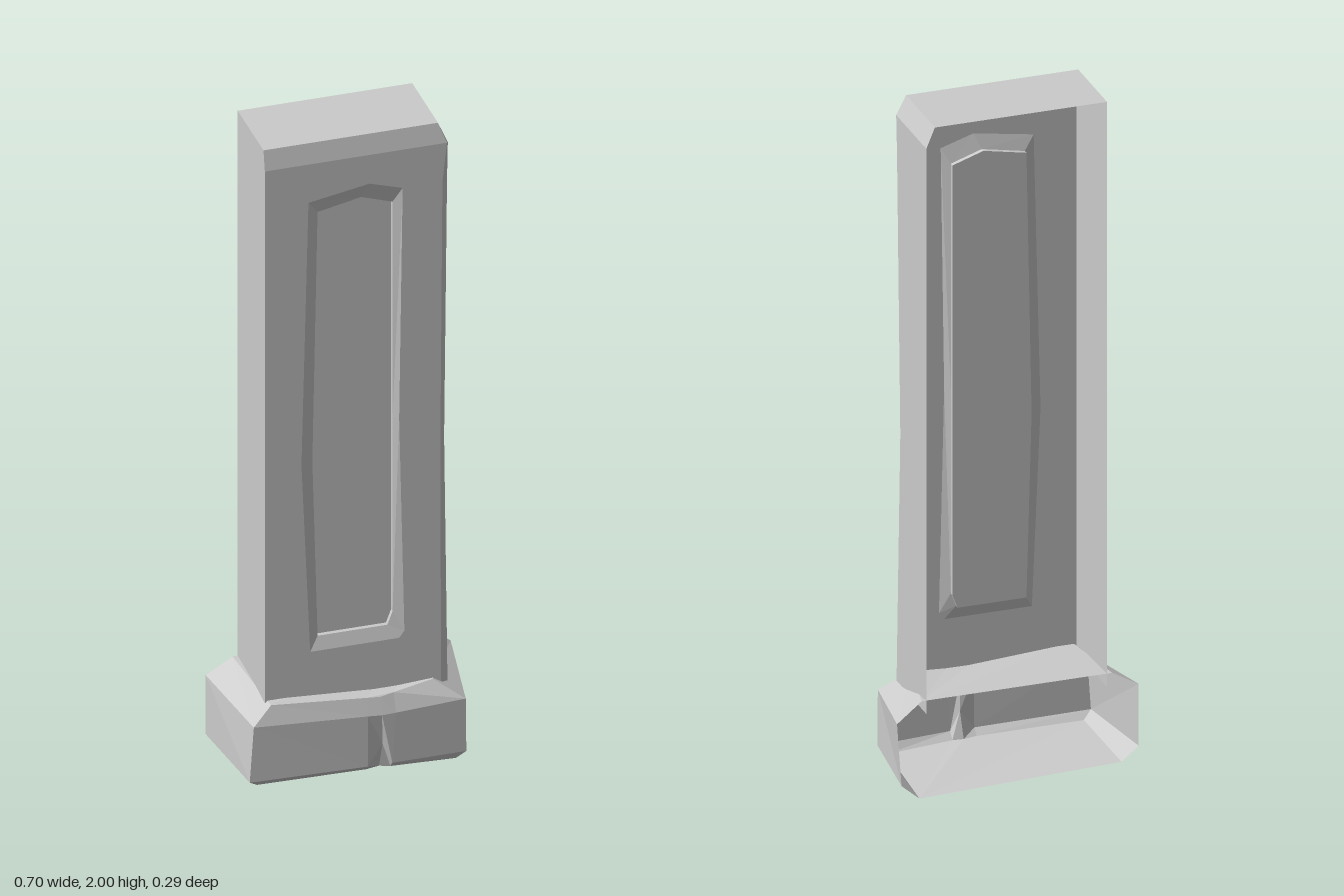
import * as THREE from 'three';

const BACK = -0.147, FRONT = 0.095;
const material = new THREE.MeshStandardMaterial({ color: 0xcccccc, flatShading: true, side: THREE.DoubleSide });

function meshFrom(name, triangles) {
  const geometry = new THREE.BufferGeometry();
  geometry.setAttribute('position', new THREE.Float32BufferAttribute(triangles.flat(), 3));
  geometry.computeVertexNormals();
  const mesh = new THREE.Mesh(geometry, material);
  mesh.name = name;
  return mesh;
}

// Quads between consecutive rows of points
function loft(rows, closed = false) {
  const out = [];
  for (let r = 0; r + 1 < rows.length; r++) {
    const a = rows[r], b = rows[r + 1], n = a.length;
    for (let i = 0; i < (closed ? n : n - 1); i++) {
      const j = (i + 1) % n;
      out.push(a[i], b[i], b[j], a[i], b[j], a[j]);
    }
  }
  return out;
}

// Fills an outline, with optional holes, triangulated on the two given axes
function fill(outline, holes = [], u = 0, v = 1) {
  const flat = (ring) => ring.map((p) => new THREE.Vector2(p[u], p[v]));
  const points = [outline, ...holes].flat();
  return THREE.ShapeUtils.triangulateShape(flat(outline), holes.map(flat)).flat().map((i) => points[i]);
}

const atZ = (ring, z) => ring.map(([x, y]) => [x, y, z]);

function createPillar() {
  const pillar = new THREE.Group();
  pillar.name = 'pillar';

  // Recess outlines, clockwise from the upper corner
  const rim = [[-0.135, 1.82], [0.04, 1.85], [0.135, 1.82], [0.125, 1.1], [0.14, 0.43], [0.125, 0.41], [-0.13, 0.41], [-0.155, 1.0]];
  const inner = [[-0.105, 1.78], [0.02, 1.805], [0.11, 1.775], [0.11, 1.1], [0.11, 0.49], [0.095, 0.45], [-0.105, 0.45], [-0.12, 1.0]];

  // Worn corner: front edge and the side edge behind it
  const wornFront = [[0.245, 0.25], [0.243, 1.0], [0.249, 1.82], [0.262, 1.94]].map(([x, y]) => [x, y, FRONT]);
  const wornSide = [[0.265, 0.25, 0.09], [0.265, 1.0, 0.06], [0.265, 1.82, 0.086], [0.265, 1.94, 0.093]];

  const face = [[-0.26, 0.25, FRONT], ...wornFront, [-0.26, 1.94, FRONT]];
  pillar.add(meshFrom('frontFace', fill(face, [atZ(rim, FRONT)])));
  pillar.add(meshFrom('recessBorder', loft([atZ(rim, FRONT), atZ(inner, 0.083), atZ(inner, 0.07)], true)));
  pillar.add(meshFrom('recessPanel', fill(atZ(inner, 0.07))));
  pillar.add(meshFrom('wornCorner', loft([wornFront, wornSide])));
  pillar.add(meshFrom('leftWall', loft([wornSide, wornSide.map(([x, y]) => [x, y, BACK])])));
  pillar.add(meshFrom('rightWall', fill([
    [-0.26, 0.25, BACK], [-0.26, 0.25, FRONT], [-0.26, 1.94, FRONT], [-0.26, 2, 0.083], [-0.26, 2, BACK],
  ], [], 2, 1)));

  // Top with bevels along the front and one side
  const topRight = [-0.26, 2, 0.083], topLeft = [0.24, 2, 0.083], topBack = [0.24, 2, BACK];
  pillar.add(meshFrom('top', fill([topRight, topLeft, topBack, [-0.26, 2, BACK]], [], 0, 2)));
  pillar.add(meshFrom('topBevels', [
    ...loft([[topRight, topLeft], [face[5], wornFront[3]]]),
    ...loft([[topLeft, topBack], [wornSide[3], [0.265, 1.94, BACK]]]),
    topLeft, wornFront[3], wornSide[3],
  ]));
  return pillar;
}

function createBase() {
  const base = new THREE.Group();
  base.name = 'base';
  // Each row runs from the back, around the front, to the back again
  const top = [[-0.275, 0.29, BACK], [-0.25, 0.277, 0.12], [0.02, 0.258, 0.129], [0.06, 0.255, 0.13],
    [0.1, 0.259, 0.123], [0.22, 0.268, 0.1], [0.278, 0.29, BACK]];
  const shoulder = [[-0.352, 0.245, BACK], [-0.305, 0.225, 0.137], [0.02, 0.208, 0.144], [0.06, 0.205, 0.145],
    [0.1, 0.206, 0.144], [0.303, 0.21, 0.135], [0.35, 0.232, BACK]];
  // The raised middle point is a chip in the lower edge
  const lower = [[-0.352, 0.06, BACK], [-0.317, 0.055, 0.138], [0.02, 0.05, 0.143], [0.065, 0.11, 0.134],
    [0.09, 0.05, 0.143], [0.305, 0.045, 0.134], [0.337, 0.045, BACK]];
  const bottom = [[-0.302, 0.02, BACK], [-0.29, 0.034, 0.12], [0.02, 0.032, 0.125], [0.06, 0.032, 0.117],
    [0.09, 0.03, 0.125], [0.28, 0.02, 0.12], [0.285, 0, BACK]];
  base.add(meshFrom('baseSides', loft([top, shoulder, lower, bottom])));
  base.add(meshFrom('baseTop', fill(top, [], 0, 2)));
  base.add(meshFrom('baseBottom', fill(bottom, [], 0, 2)));
  return base;
}

export function createModel() {
  const model = new THREE.Group();
  model.name = 'wallPillar';
  model.add(createPillar(), createBase());
  return model;
}
